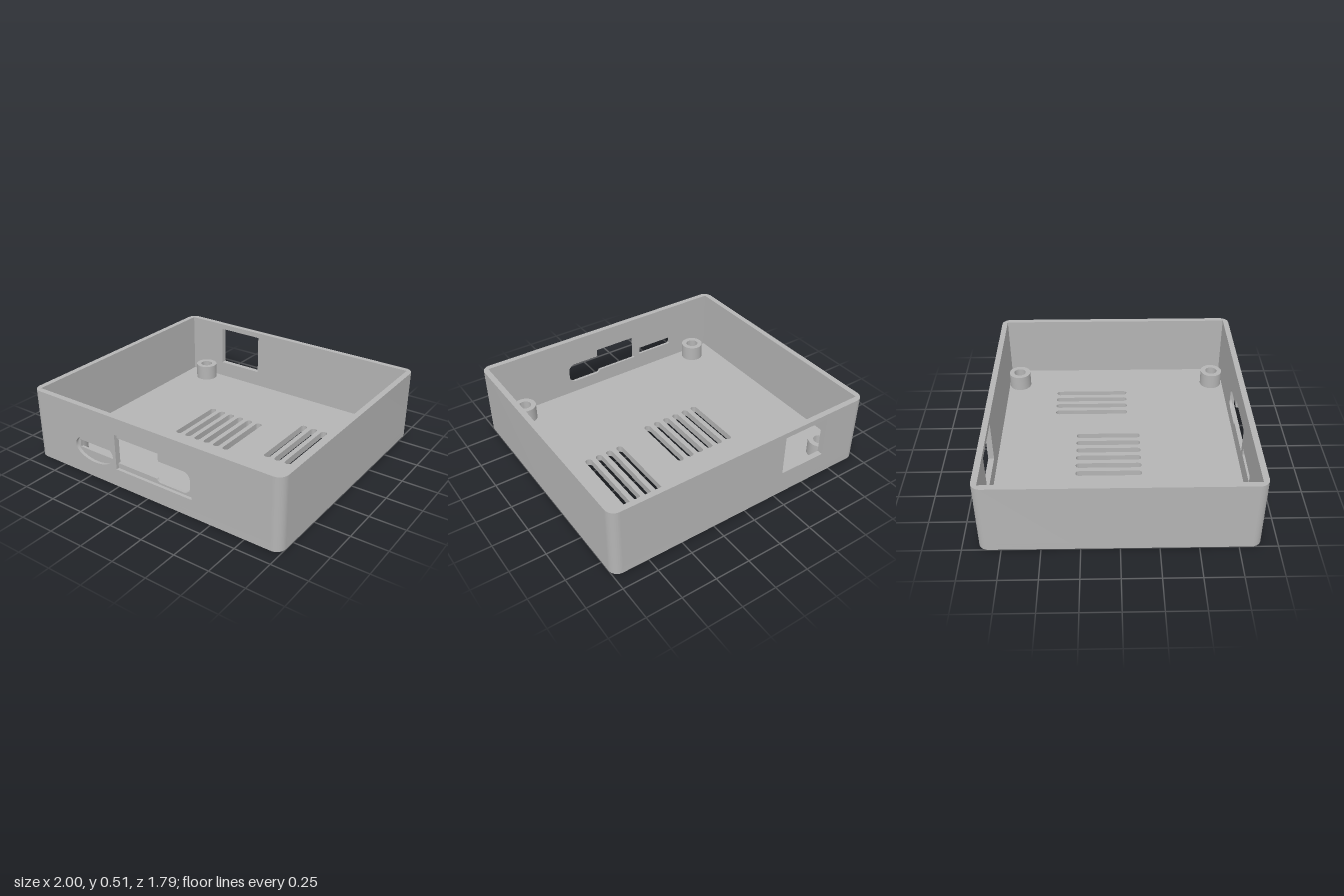
import * as THREE from 'three';
import { toCreasedNormals } from 'three/addons/utils/BufferGeometryUtils.js';

const W = 1, D = 0.895, H = 0.51;        // half width, half depth, height
const WALL = 0.04, FLOOR = 0.05, R = 0.065;
const RECESS = 0.022, FOOT_DEPTH = 0.03; // sunken areas in front wall and underside

const polygon = (pts) => new THREE.Shape(pts.map(([x, y]) => new THREE.Vector2(x, y)));
const rect = (x0, y0, x1, y1) => polygon([[x0, y0], [x1, y0], [x1, y1], [x0, y1]]);
const ellipse = (x, y, rx, ry) => new THREE.Shape().absellipse(x, y, rx, ry, 0, Math.PI * 2);

// Vertical slot with round ends
function slot(x, y0, y1, r) {
  const s = new THREE.Shape();
  s.absarc(x, y1 - r, r, 0, Math.PI);
  s.absarc(x, y0 + r, r, Math.PI, Math.PI * 2);
  s.closePath();
  return s;
}

function extrude(shape, holes, depth) {
  shape.holes = holes;
  return new THREE.ExtrudeGeometry(shape, { depth, bevelEnabled: false, curveSegments: 16 });
}

export function createModel() {
  const model = new THREE.Group();
  const grey = new THREE.MeshStandardMaterial({ color: 0xb4b4b4 });
  grey.name = 'grey plastic';

  const add = (name, geometry) => {
    const mesh = new THREE.Mesh(toCreasedNormals(geometry, 0.5), grey);
    mesh.name = name;
    model.add(mesh);
    return mesh;
  };
  // Plan shape (x, -z) raised from y0 to y1
  const slab = (name, shape, holes, y0, y1) =>
    add(name, extrude(shape, holes, y1 - y0).rotateX(-Math.PI / 2).translate(0, y0, 0));
  // Elevation shape (x, y) from z0 to z1
  const panel = (name, holes, z0, z1) =>
    add(name, extrude(rect(-W + R, FLOOR, W - R, H), holes, z1 - z0).translate(0, 0, z0));

  // Floor: two layers, the lower one with round foot recesses
  const outline = () => {
    const s = new THREE.Shape();
    s.absarc(W - R, D - R, R, 0, Math.PI / 2);
    s.absarc(-W + R, D - R, R, Math.PI / 2, Math.PI);
    s.absarc(-W + R, -D + R, R, Math.PI, Math.PI * 1.5);
    s.absarc(W - R, -D + R, R, Math.PI * 1.5, Math.PI * 2);
    s.closePath();
    return s;
  };
  const vents = () => {
    const list = [];
    for (let i = 0; i < 6; i++) list.push(slot(-0.34 + i * 0.084, -0.165, 0.3, 0.024));
    for (let i = 0; i < 4; i++) list.push(slot(0.375 + i * 0.084, -0.08, 0.467, 0.024));
    return list;
  };
  const corners = [];
  for (const x of [-0.768, 0.763]) for (const z of [-0.768, 0.763]) corners.push([x, z]);
  const feet = corners.map(([x, z]) => ellipse(x, -z, 0.114, 0.114));
  slab('floorUnderside', outline(), [...vents(), ...feet], 0, FOOT_DEPTH);
  slab('floor', outline(), vents(), FOOT_DEPTH, FLOOR);

  // Side walls, each wrapping round its two corners
  const side = () => {
    const s = new THREE.Shape();
    s.moveTo(W - R, -D);
    s.absarc(W - R, -D + R, R, -Math.PI / 2, 0);
    s.absarc(W - R, D - R, R, 0, Math.PI / 2);
    s.lineTo(W - R, D - WALL);
    s.lineTo(W - WALL, D - WALL);
    s.lineTo(W - WALL, -D + WALL);
    s.lineTo(W - R, -D + WALL);
    s.closePath();
    return s;
  };
  slab('leftWall', side(), [], FLOOR, H);
  slab('rightWall', side(), [], FLOOR, H).rotation.y = Math.PI;

  // Back wall with one port opening
  panel('backWall', [rect(-0.665, 0.17, -0.31, 0.47)], -D, -D + WALL);

  // Front wall: inner layer has the openings, outer layer the wider recesses
  const port = new THREE.Shape();
  port.moveTo(-0.262, 0.166);
  port.lineTo(0.065, 0.166);
  port.quadraticCurveTo(0.075, 0.143, 0.1, 0.143);
  port.lineTo(0.281, 0.143);
  port.absarc(0.281, 0.193, 0.05, -Math.PI / 2, 0);
  port.absarc(0.281, 0.247, 0.05, 0, Math.PI / 2);
  port.lineTo(0.08, 0.297);
  port.lineTo(0.08, 0.353);
  port.lineTo(-0.262, 0.353);
  port.closePath();
  panel('frontWallInner', [port, rect(-0.6, 0.18, -0.31, 0.235)], D - WALL, D - RECESS);
  panel('frontWallOuter',
    [rect(-0.262, 0.129, 0.358, 0.387), ellipse(-0.455, 0.207, 0.168, 0.092)], D - RECESS, D);

  // Hollow screw posts
  const profile = [[0.082, FLOOR], [0.082, 0.165], [0.045, 0.165], [0.045, FLOOR]]
    .map(([r, y]) => new THREE.Vector2(r, y));
  corners.forEach(([x, z]) =>
    add('screwPost', new THREE.LatheGeometry(profile, 40)).position.set(x, 0, z));

  return model;
}
